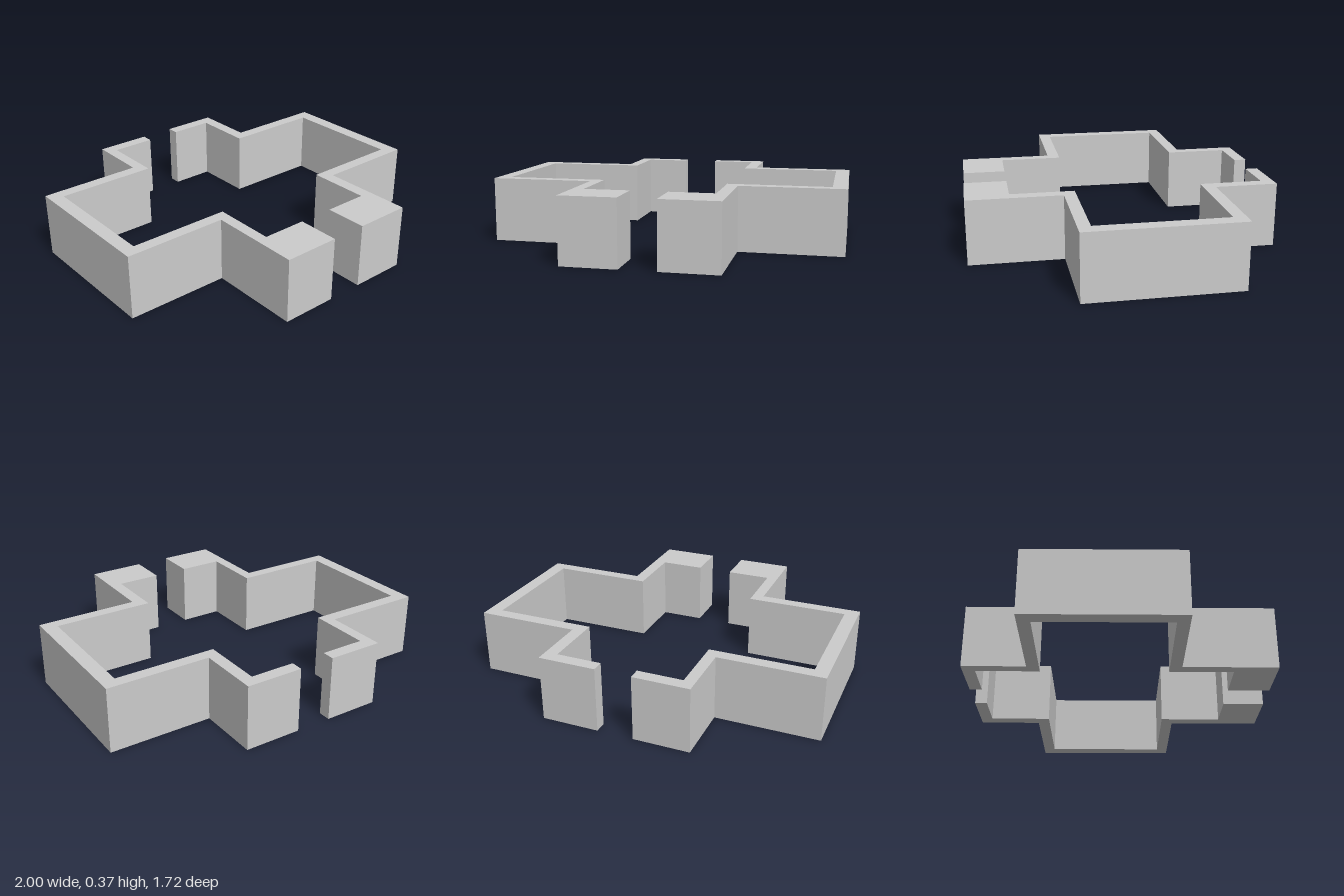
import * as THREE from 'three';

const HEIGHT = 0.365;

// Half of the cross-shaped wall plan, as [x, z]; side is +1 or -1.
function wallHalf(name, side, gapX, innerX, wingInnerX, material) {
  const outerX = 0.42;
  const plan = [
    // outer face, back opening to front opening
    [gapX, -0.86], [outerX, -0.86], [outerX, -0.507], [1, -0.507],
    [1, 0.335], [outerX, 0.335], [outerX, 0.86], [gapX, 0.86],
    // inner face, back again: thick gate pier first
    [gapX, 0.622], [innerX, 0.622], [innerX, 0.268], [wingInnerX, 0.268],
    [wingInnerX, -0.438], [innerX, -0.438], [innerX, -0.79], [gapX, -0.79],
  ];
  const shape = new THREE.Shape(plan.map(([x, z]) => new THREE.Vector2(side * x, -z)));
  const geometry = new THREE.ExtrudeGeometry(shape, { depth: HEIGHT, bevelEnabled: false });
  geometry.rotateX(-Math.PI / 2); // plan lies flat, walls rise along y
  const mesh = new THREE.Mesh(geometry, material);
  mesh.name = name;
  return mesh;
}

export function createModel() {
  const model = new THREE.Group();
  model.name = 'crossPlanWalls';
  const material = new THREE.MeshStandardMaterial({ color: 0xcccccc, flatShading: true });

  // Two wall halves separated by the front and back openings
  model.add(wallHalf('leftWall', 1, 0.098, 0.35, 0.92, material));
  model.add(wallHalf('rightWall', -1, 0.105, 0.357, 0.923, material));
  return model;
}
